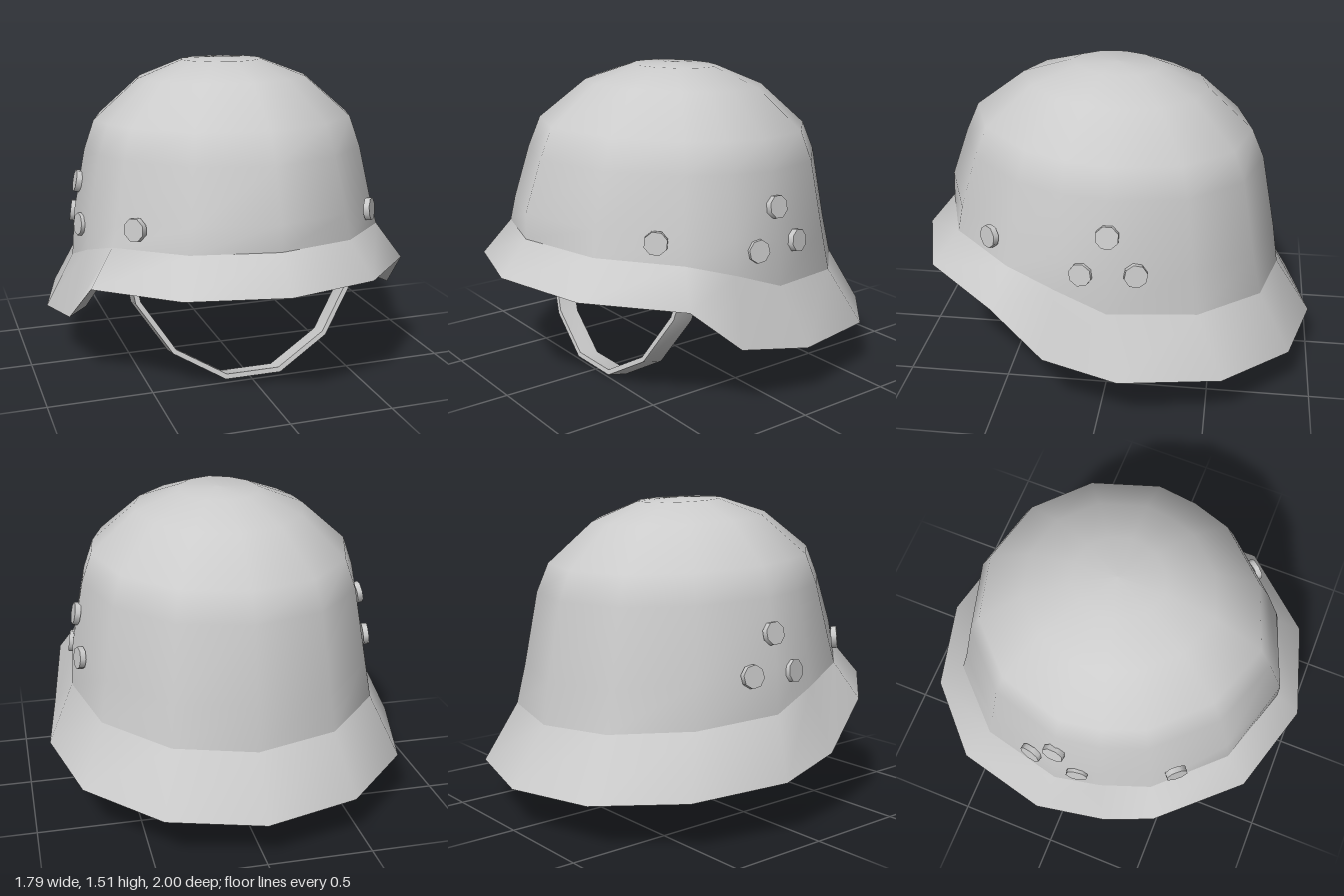
import * as THREE from 'three';
import { toCreasedNormals } from 'three/addons/utils/BufferGeometryUtils.js';

const material = new THREE.MeshStandardMaterial({ color: 0xcccccc, roughness: 0.8 });

// Half outlines from front centre round the left side to back centre
const rimHalf = [[0, 0.592, 1], [0.45, 0.577, 0.865], [0.78, 0.547, 0.5], [0.84, 0.33, 0.25],
  [0.895, 0.27, -0.105], [0.78, 0.245, -0.575], [0.45, 0.215, -0.89], [0, 0.2, -1]];
const creaseHalf = [[0, 0.757, 0.865], [0.385, 0.742, 0.74], [0.665, 0.717, 0.44], [0.735, 0.642, 0.2],
  [0.765, 0.552, -0.04], [0.665, 0.522, -0.45], [0.385, 0.497, -0.735], [0, 0.477, -0.82]];

// Dome rings: half width, front z, front y, back z, back y
const domeRings = [
  [0.75, 0.86, 0.88, 0.79, 0.68],
  [0.69, 0.775, 1.12, 0.72, 1.05],
  [0.64, 0.71, 1.265, 0.66, 1.19],
  [0.42, 0.47, 1.443, 0.44, 1.393],
  [0.2, 0.23, 1.513, 0.21, 1.493],
  [0, 0, 1.513, 0, 1.513],
];

// Lining rings: scale of the rim outline, height, slope towards the front
const liningRings = [
  [0.72, 0.55, 0.15],
  [0.6, 0.7, 0.13],
  [0.42, 0.85, 0.1],
  [0.2, 0.94, 0.05],
  [0, 0.96, 0],
];

const closeRing = (half) =>
  [...half, ...half.slice(1, -1).reverse().map(([x, y, z]) => [-x, y, z])];

// Scales the crease outline to a ring of the dome, tilted from front to back
// and drawn in a little on the diagonals
function domeRing([w, f, yf, b, yb]) {
  return closeRing(creaseHalf.map(([x, , z]) => {
    const u = x / 0.765;
    const v = z > 0 ? z / 0.865 : z / 0.82;
    const round = 1 - 0.03 * ((2 * u * v) / (u * u + v * v)) ** 2;
    const rz = v * (z > 0 ? f : b) * round;
    const t = f + b > 0 ? (rz + b) / (f + b) : 0;
    return [u * w * round, yb + (yf - yb) * t, rz];
  }));
}

const liningRing = ([s, y, slope]) =>
  closeRing(rimHalf.map(([x, , z]) => [x * s, y + slope * z * s, z * s]));

// Smooth skin through closed rings
function loft(name, rings) {
  const n = rings[0].length;
  const index = [];
  for (let i = 0; i < rings.length - 1; i++) {
    for (let j = 0; j < n; j++) {
      const k = (j + 1) % n;
      const a = i * n + j, b = i * n + k, c = b + n, d = a + n;
      index.push(a, b, c, a, c, d);
    }
  }
  const geometry = new THREE.BufferGeometry();
  geometry.setAttribute('position', new THREE.Float32BufferAttribute(rings.flat(2), 3));
  geometry.setIndex(index);
  geometry.computeVertexNormals();
  const mesh = new THREE.Mesh(geometry, material);
  mesh.name = name;
  return mesh;
}

function rivet(name, position, normal) {
  const geometry = new THREE.CylinderGeometry(0.055, 0.056, 0.028, 8);
  geometry.rotateY(Math.PI / 8);
  const mesh = new THREE.Mesh(geometry, material);
  mesh.name = name;
  mesh.position.set(...position);
  mesh.quaternion.setFromUnitVectors(new THREE.Vector3(0, 1, 0),
    new THREE.Vector3(...normal).normalize());
  return mesh;
}

// Flat chin strap bent in a U, its ends sunk in the lining
function chinStrap() {
  const outer = [[0.14, 0], [0.392, 0.155], [0.555, 0.41], [0.59, 0.635]];
  const inner = [[0.132, 0.024], [0.376, 0.173], [0.531, 0.418], [0.566, 0.635]];
  const flip = (pts) => pts.map(([x, y]) => [-x, y]);
  const outline = [...flip(outer).reverse(), ...outer, ...[...inner].reverse(), ...flip(inner)];
  const shape = new THREE.Shape(outline.map(([x, y]) => new THREE.Vector2(x, y)));
  const geometry = new THREE.ExtrudeGeometry(shape, { depth: 0.106, bevelEnabled: false });
  geometry.translate(0, 0, -0.053);
  const mesh = new THREE.Mesh(toCreasedNormals(geometry, 0.8), material);
  mesh.name = 'chinStrap';
  mesh.rotation.x = -0.227;
  mesh.position.set(0, 0.012, 0.462);
  return mesh;
}

export function createModel() {
  const helmet = new THREE.Group();
  helmet.name = 'helmet';

  // Outer shell
  const rim = closeRing(rimHalf);
  const crease = closeRing(creaseHalf);
  helmet.add(loft('brim', [rim, crease]));
  helmet.add(loft('dome', [crease, ...domeRings.map(domeRing)]));

  // Sloped lip under the rim and the shallow bowl-shaped lining inside it
  const innerRim = rim.map(([x, y, z]) => [x * 0.9, y + 0.038, z * 0.92]);
  helmet.add(loft('rimLip', [innerRim, rim]));
  helmet.add(loft('lining', [...liningRings.map(liningRing).reverse(), innerRim]));

  // Rivets: one at the temple and three round the ear on each side
  const rivets = [
    ['templeRivet', [0.577, 0.82, 0.535], [0.78, 0.1, 0.66]],
    ['frontEarRivet', [0.742, 0.738, 0.08], [1, 0.12, 0.17]],
    ['backEarRivet', [0.73, 0.742, -0.17], [1, 0.14, -0.22]],
    ['upperEarRivet', [0.727, 0.925, -0.04], [1, 0.2, -0.05]],
  ];
  for (const side of [1, -1]) {
    for (const [name, [x, y, z], [nx, ny, nz]] of rivets) {
      helmet.add(rivet((side > 0 ? 'left_' : 'right_') + name, [side * x, y, z], [side * nx, ny, nz]));
    }
  }

  helmet.add(chinStrap());
  return helmet;
}
